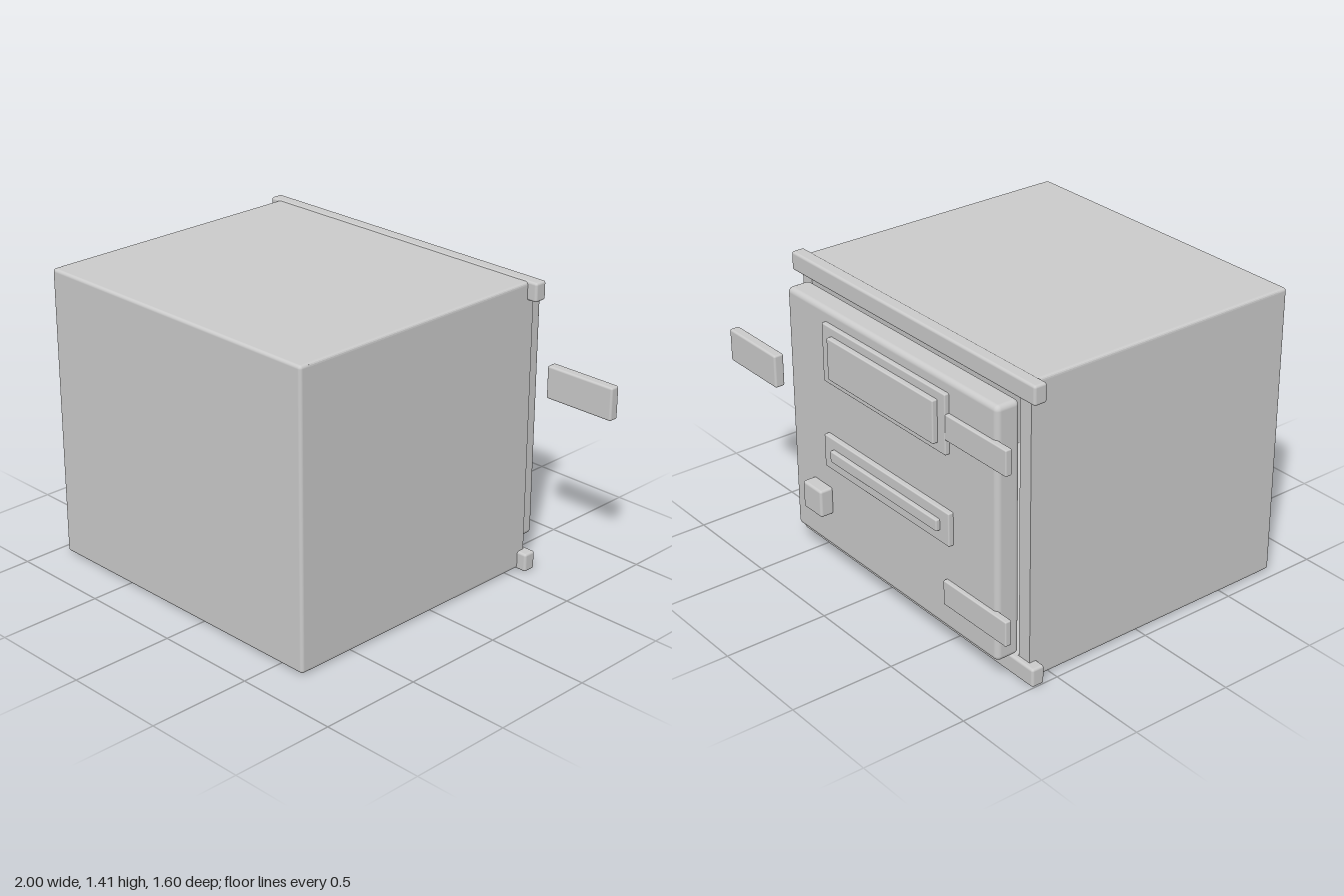
import * as THREE from 'three';
import { RoundedBoxGeometry } from 'three/addons/geometries/RoundedBoxGeometry.js';

const material = new THREE.MeshStandardMaterial({ color: 0xcccccc });

// Rounded block given by its extents on each axis
function block(name, [x0, x1], [y0, y1], [z0, z1], radius = 0.006) {
  const geometry = new RoundedBoxGeometry(x1 - x0, y1 - y0, z1 - z0, 3, radius);
  const mesh = new THREE.Mesh(geometry, material);
  mesh.position.set((x0 + x1) / 2, (y0 + y1) / 2, (z0 + z1) / 2);
  mesh.name = name;
  return mesh;
}

// Rectangle outline with rounded corners
function roundedRect(path, x0, x1, y0, y1, r) {
  path.moveTo(x0 + r, y0);
  path.lineTo(x1 - r, y0).quadraticCurveTo(x1, y0, x1, y0 + r);
  path.lineTo(x1, y1 - r).quadraticCurveTo(x1, y1, x1 - r, y1);
  path.lineTo(x0 + r, y1).quadraticCurveTo(x0, y1, x0, y1 - r);
  path.lineTo(x0, y0 + r).quadraticCurveTo(x0, y0, x0 + r, y0);
  return path;
}

export function createModel() {
  const model = new THREE.Group();
  model.name = 'safe';

  // Hollow casing: four walls in one ring, closed by a wall at +z
  const ring = roundedRect(new THREE.Shape(), -0.95, 0.64, 0.005, 1.41, 0.015);
  ring.holes.push(roundedRect(new THREE.Path(), -0.88, 0.57, 0.09, 1.325, 0.005));
  const casing = new THREE.Mesh(
    new THREE.ExtrudeGeometry(ring, { depth: 1.36, bevelEnabled: false, curveSegments: 4 }),
    material
  );
  casing.position.z = -0.61;
  casing.name = 'casing';
  model.add(casing);
  model.add(block('endWall', [-0.95, 0.64], [0.005, 1.41], [0.72, 0.8], 0.015));

  // Rails across the top and bottom of the opening
  for (const [name, y] of [['bottomRail', 0], ['topRail', 1.325]]) {
    model.add(block(name, [-1, 0.69], [y, y + 0.09], [-0.635, -0.57], 0.012));
  }

  // Door with its fittings
  const door = new THREE.Group();
  door.name = 'door';
  door.add(
    block('doorPanel', [-0.89, 0.585], [0.11, 1.31], [-0.735, -0.615], 0.025),
    block('displayPlate', [-0.58, 0.29], [0.97, 1.25], [-0.757, -0.725]),
    block('display', [-0.53, 0.22], [1.01, 1.21], [-0.782, -0.745]),
    block('slotPlate', [-0.6, 0.3], [0.545, 0.705], [-0.76, -0.725]),
    block('slotBar', [-0.54, 0.23], [0.6, 0.655], [-0.78, -0.75]),
    block('knob', [0.29, 0.43], [0.29, 0.425], [-0.8, -0.73], 0.012),
    block('handle', [0.63, 1], [0.805, 0.965], [-0.79, -0.74], 0.01)
  );
  for (const [name, y] of [['lowerHinge', 0.24], ['upperHinge', 1.04]]) {
    door.add(block(name, [-0.97, -0.55], [y, y + 0.12], [-0.755, -0.723]));
  }
  model.add(door);

  return model;
}
